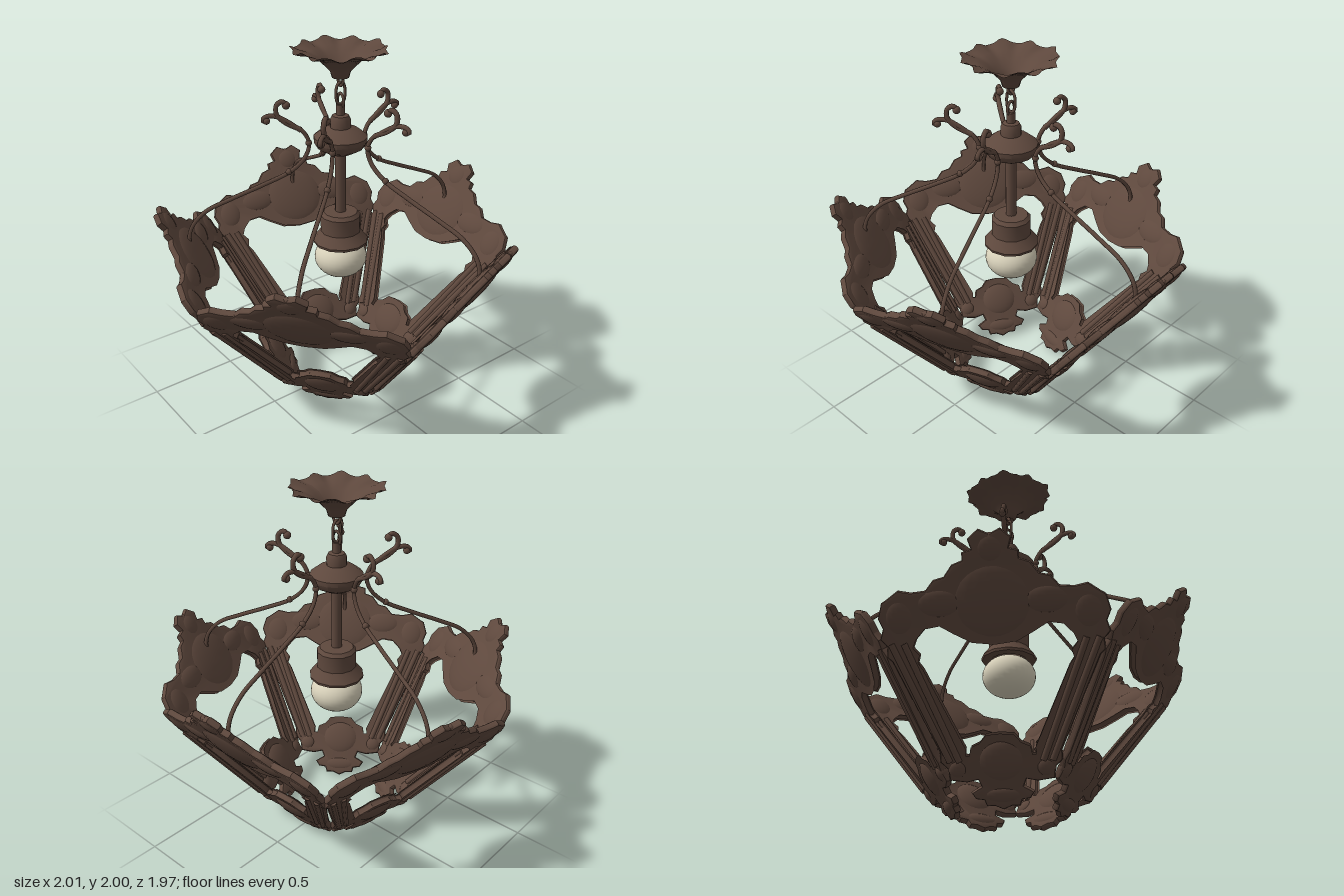
import * as THREE from 'three';
import { toCreasedNormals } from 'three/addons/utils/BufferGeometryUtils.js';

const bronze = new THREE.MeshStandardMaterial({ color: 0x5e483d, side: THREE.DoubleSide });
bronze.name = 'dark bronze';
const glass = new THREE.MeshStandardMaterial({ color: 0xd8d1ba });
glass.name = 'frosted glass';

const SLOPE = 1.205; // distance along a panel per unit of height
const V = (x, y, z = 0) => new THREE.Vector3(x, y, z);

function add(parent, name, geometry, material = bronze) {
  const mesh = new THREE.Mesh(geometry, material);
  mesh.name = name;
  parent.add(mesh);
  return mesh;
}

function lathe(points, sides, crease = 0.6) {
  const geo = new THREE.LatheGeometry(points.map(([r, y]) => new THREE.Vector2(r, y)), sides);
  return toCreasedNormals(geo, crease);
}

function tube(points, radius, closed = false) {
  const curve = new THREE.CatmullRomCurve3(points.map(p => V(...p)), closed);
  return new THREE.TubeGeometry(curve, points.length * 5, radius, 6, closed);
}

// Mirrors half an outline (given as half width, height) into a closed loop
function mirrored(half) {
  const left = half.slice(1, -1).reverse().map(([u, y]) => [-u, y]);
  return [...half, ...left].map(([u, y]) => new THREE.Vector2(u, y * SLOPE));
}

// Flattened dome used for raised ornament
function dome(parent, name, u, y, su, sv, depth) {
  const mesh = add(parent, name, new THREE.SphereGeometry(1, 20, 12));
  mesh.position.set(u, y * SLOPE, 0);
  mesh.scale.set(su, sv, depth);
}

function rod(parent, name, a, b, radius, z) {
  const p = V(a[0], a[1] * SLOPE, z), q = V(b[0], b[1] * SLOPE, z);
  const mesh = add(parent, name, new THREE.CylinderGeometry(radius, radius, p.distanceTo(q), 8));
  mesh.position.copy(p).lerp(q, 0.5);
  mesh.quaternion.setFromUnitVectors(V(0, 1), q.sub(p).normalize());
}

function makePanel() {
  const panel = new THREE.Group();
  panel.name = 'framePanel';
  // Carved outline: crest, corner, leg, then the lower shell
  const outer = [
    [0, 1.085], [0.05, 1.105], [0.1, 1.07], [0.085, 1.03], [0.13, 1.02], [0.13, 0.99], [0.18, 0.975],
    [0.22, 0.93], [0.27, 0.92], [0.31, 0.88], [0.38, 0.875], [0.44, 0.885], [0.5, 0.85], [0.52, 0.84],
    [0.54, 0.78], [0.52, 0.74], [0.535, 0.7], [0.505, 0.67], [0.51, 0.63], [0.485, 0.61],
    [0.29, 0.24], [0.29, 0.2], [0.255, 0.17], [0.25, 0.125], [0.17, 0.115], [0.115, 0.125], [0.1, 0.095],
    [0.15, 0.07], [0.13, 0.045], [0.09, 0.04], [0.08, 0.015], [0.04, 0.015], [0, 0]];
  const inner = [
    [0, 0.675], [0.1, 0.685], [0.18, 0.72], [0.25, 0.755], [0.33, 0.745], [0.38, 0.7], [0.4, 0.66],
    [0.37, 0.63], [0.38, 0.6], [0.355, 0.57], [0.18, 0.25], [0.185, 0.215], [0.14, 0.21], [0.13, 0.25],
    [0.09, 0.265], [0.06, 0.295], [0, 0.3]];
  const shape = new THREE.Shape(mirrored(outer));
  shape.holes.push(new THREE.Path(mirrored(inner)));
  const geo = new THREE.ExtrudeGeometry(shape, {
    depth: 0.014, bevelThickness: 0.013, bevelSize: 0.016, bevelOffset: -0.014, bevelSegments: 2 });
  geo.translate(0, 0, -0.007);
  add(panel, 'carvedFrame', toCreasedNormals(geo, 0.7));

  dome(panel, 'crestBody', 0, 0.83, 0.2, 0.185, 0.042);
  dome(panel, 'crestTip', 0, 1.03, 0.075, 0.075, 0.03);
  dome(panel, 'lowerShell', 0, 0.2, 0.12, 0.11, 0.04);
  dome(panel, 'lowerLeaf', 0, 0.06, 0.11, 0.045, 0.03);
  for (const s of [-1, 1]) {
    dome(panel, 'topScroll', s * 0.25, 0.83, 0.12, 0.075, 0.034);
    dome(panel, 'cornerScroll', s * 0.44, 0.78, 0.08, 0.095, 0.032);
    dome(panel, 'footScroll', s * 0.21, 0.17, 0.05, 0.05, 0.032);
    // Twin mouldings along each leg, on both faces
    for (const z of [-0.014, 0.014]) {
      rod(panel, 'outerMoulding', [s * 0.485, 0.68], [s * 0.245, 0.2], 0.018, z);
      rod(panel, 'innerMoulding', [s * 0.425, 0.68], [s * 0.2, 0.2], 0.018, z);
    }
  }
  // Lean the panel outward
  const up = V(0.74, 1.1).normalize(), side = V(0, 0, -1);
  const basis = new THREE.Matrix4().makeBasis(side, up, side.clone().cross(up));
  panel.quaternion.setFromRotationMatrix(basis);
  panel.position.set(0.265, 0, 0);
  return panel;
}

function makeArm() {
  const arm = new THREE.Group();
  arm.name = 'scrollArm';
  add(arm, 'armRod', tube([[0.26, 1.585, 0], [0.2, 1.545, 0], [0.168, 1.48, 0], [0.19, 1.4, 0], [0.27, 1.32, 0],
    [0.42, 1.245, 0], [0.6, 1.165, 0], [0.74, 1.095, 0], [0.82, 1.01, 0], [0.845, 0.93, 0], [0.835, 0.87, 0]], 0.012));
  add(arm, 'upperCurl', tube([[0.21, 1.555, 0], [0.29, 1.595, 0], [0.335, 1.64, 0], [0.335, 1.69, 0],
    [0.305, 1.71, 0], [0.28, 1.69, 0]], 0.014));
  add(arm, 'outerCurl', tube([[0.21, 1.55, 0], [0.28, 1.6, 0], [0.34, 1.63, 0], [0.39, 1.63, 0],
    [0.41, 1.61, 0], [0.385, 1.6, 0]], 0.013));
  const tips = [[0.285, 1.69, 0.022], [0.39, 1.607, 0.02], [0.17, 1.48, 0.018], [0.28, 1.316, 0.018]];
  for (const [x, y, r] of tips) {
    add(arm, 'armBead', new THREE.SphereGeometry(r, 10, 8)).position.set(x, y, 0);
  }
  return arm;
}

// Open bell with a ruffled rim
function makeCanopy() {
  const profile = [[0.012, 1.83], [0.045, 1.835], [0.055, 1.87], [0.085, 1.9], [0.12, 1.935],
    [0.17, 1.96], [0.22, 1.972], [0.245, 1.985]];
  const geo = new THREE.LatheGeometry(profile.map(p => new THREE.Vector2(...p)), 80);
  const pos = geo.attributes.position;
  for (let i = 0; i < pos.count; i++) {
    const x = pos.getX(i), z = pos.getZ(i), r = Math.hypot(x, z), a = Math.atan2(z, x);
    const t = Math.max(0, (r - 0.1) / 0.145) ** 2;
    const k = 1 + t * (0.035 * Math.cos(5 * a) + 0.03 * Math.cos(20 * a));
    pos.setXYZ(i, x * k, pos.getY(i) + t * 0.012 * Math.cos(10 * a), z * k);
  }
  geo.computeVertexNormals();
  return geo;
}

export function createModel() {
  const model = new THREE.Group();
  model.name = 'lantern';
  model.position.x = -0.015;
  const root = new THREE.Group();
  root.name = 'lanternBody';
  model.add(root);

  // Five leaning panels, each held by an arm
  for (let i = 0; i < 5; i++) {
    const sector = new THREE.Group();
    sector.name = 'sector';
    sector.rotation.y = THREE.MathUtils.degToRad(2 + 72 * i);
    sector.add(makePanel(), makeArm());
    root.add(sector);
  }

  // Centre column
  add(root, 'ceilingCanopy', makeCanopy());
  add(root, 'hub', lathe([[0, 1.42], [0.06, 1.42], [0.125, 1.455], [0.145, 1.49], [0.145, 1.515], [0.1, 1.55],
    [0.055, 1.565], [0.055, 1.61], [0.045, 1.63], [0.024, 1.635], [0.024, 1.69], [0, 1.69]], 16));
  add(root, 'stem', new THREE.CylinderGeometry(0.03, 0.03, 0.4, 14)).position.y = 1.25;
  add(root, 'socket', lathe([[0.1, 0.89], [0.152, 0.89], [0.155, 0.905], [0.112, 0.96], [0.112, 1.055],
    [0.095, 1.075], [0, 1.08]], 12));

  // Chain links at right angles
  const link = (y0, y1, w) => tube([[-w, y0 + 0.02, 0], [-w, y1 - 0.02, 0], [0, y1, 0],
    [w, y1 - 0.02, 0], [w, y0 + 0.02, 0], [0, y0, 0]], 0.008, true);
  add(root, 'lowerLink', link(1.67, 1.75, 0.022)).rotation.y = Math.PI / 2;
  add(root, 'middleLink', link(1.69, 1.81, 0.024));
  add(root, 'upperLink', link(1.79, 1.85, 0.02)).rotation.y = Math.PI / 2;

  // Bulb
  const bulb = add(root, 'bulb', new THREE.SphereGeometry(0.148, 28, 18), glass);
  bulb.scale.y = 0.8;
  bulb.position.y = 0.795;
  return model;
}
